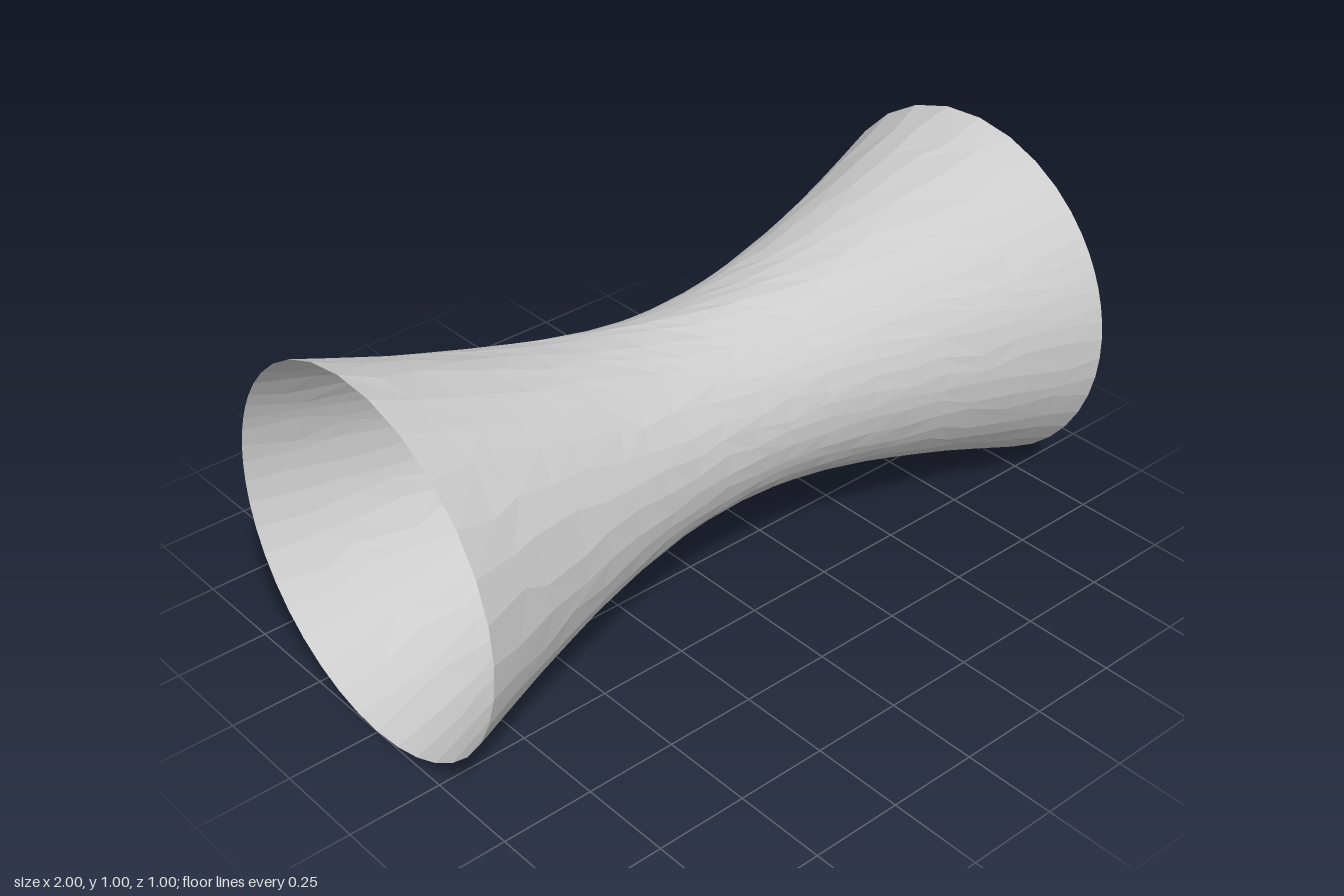
import * as THREE from 'three';

const WAIST = 0.268, END = 0.5, AROUND = 38, ALONG = 18;

// Seeded noise in -1..1
function makeNoise(seed) {
  return () => {
    seed = (seed * 16807) % 2147483647;
    return (seed / 2147483647) * 2 - 1;
  };
}

// Hyperboloid radius at a distance x from the waist
const radiusAt = x => Math.sqrt(WAIST ** 2 + (END ** 2 - WAIST ** 2) * x * x);

export function createModel() {
  const group = new THREE.Group();
  group.name = 'hyperboloidTube';
  const noise = makeNoise(71);
  const positions = [], indices = [];

  // Rings of points: irregular facets on the hyperboloid, with a slanted crease on top
  for (let i = 0; i <= ALONG; i++) {
    const inner = i > 0 && i < ALONG;
    const rowX = -1 + (2 * i) / ALONG;
    for (let j = 0; j < AROUND; j++) {
      const free = inner && j > 0 ? 1 : 0;
      const x = rowX + free * noise() * 0.03;
      const fromSeam = (j / AROUND) * Math.PI * 2;
      const d = fromSeam > Math.PI ? fromSeam - Math.PI * 2 : fromSeam;
      const r = radiusAt(x);
      const twist = Math.asin((0.3 * x) / r) * Math.exp(-((d / 1.2) ** 2));
      const angle = d + twist + free * noise() * 0.045;
      const lift = 0.009 * Math.max(0, 1 - Math.abs(d) / 0.4) * (1 - x * x);
      positions.push(x, 0.5 + (r + lift) * Math.cos(angle), (r + lift) * Math.sin(angle));
    }
  }

  // Two triangles per cell, with mixed diagonals
  for (let i = 0; i < ALONG; i++) {
    for (let j = 0; j < AROUND; j++) {
      const k = (j + 1) % AROUND;
      const a = i * AROUND + j, b = i * AROUND + k;
      const c = a + AROUND, d = b + AROUND;
      if (noise() > 0) indices.push(a, b, c, b, d, c);
      else indices.push(a, b, d, a, d, c);
    }
  }

  const geometry = new THREE.BufferGeometry();
  geometry.setAttribute('position', new THREE.Float32BufferAttribute(positions, 3));
  geometry.setIndex(indices);
  geometry.computeVertexNormals();

  // Open thin shell
  const shell = new THREE.Mesh(geometry, new THREE.MeshStandardMaterial({
    color: 0xcccccc, flatShading: true, side: THREE.DoubleSide,
  }));
  shell.name = 'shell';
  group.add(shell);
  return group;
}
